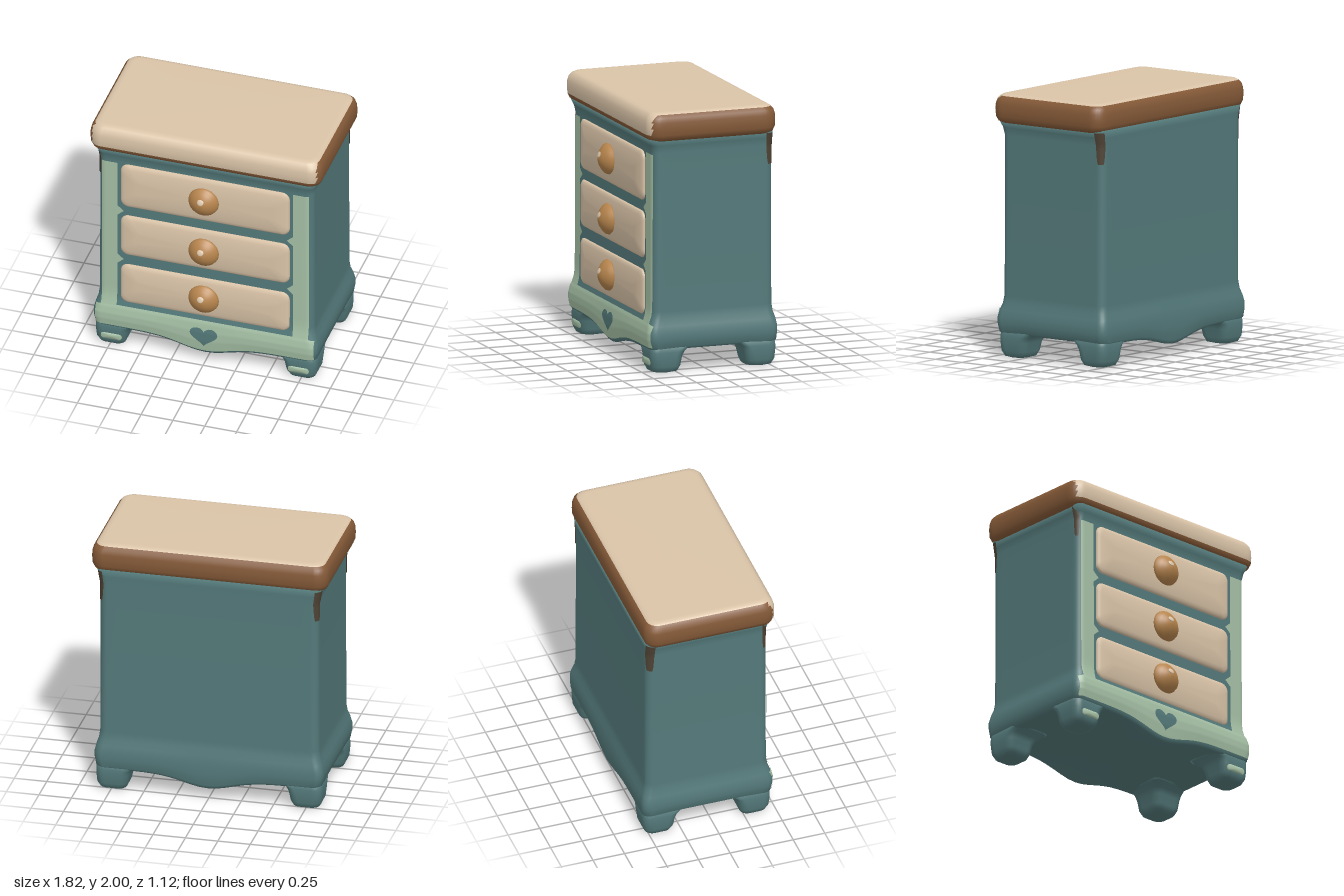
import * as THREE from 'three';

const mat = (name, color, side = THREE.FrontSide) => {
  const m = new THREE.MeshStandardMaterial({ color, side });
  m.name = name;
  return m;
};

// Rounded rectangle in the xz plane, always the same number of points
function ringPoints([y, x0, x1, z0, z1, r]) {
  const C = 7, E = 22, pts = [];
  const corners = [[x1 - r, z1 - r], [x0 + r, z1 - r], [x0 + r, z0 + r], [x1 - r, z0 + r]];
  const at = (k, a) => [corners[k % 4][0] + r * Math.cos(a), corners[k % 4][1] + r * Math.sin(a)];
  for (let k = 0; k < 4; k++) {
    for (let i = 0; i <= C; i++) pts.push(at(k, (k + i / C) * Math.PI / 2));
    const a = pts[pts.length - 1], b = at(k + 1, (k + 1) * Math.PI / 2);
    for (let i = 1; i < E; i++) pts.push([a[0] + (b[0] - a[0]) * i / E, a[1] + (b[1] - a[1]) * i / E]);
  }
  return pts.map(([x, z]) => new THREE.Vector3(x, y, z));
}

// Skins rings from bottom to top and caps both ends; classify picks a material per triangle
function loft(rings, warp = p => p, classify = null) {
  const loops = rings.map(ringPoints);
  const middle = loop => loop.reduce((s, p) => s.add(p), new THREE.Vector3()).divideScalar(loop.length);
  const n = loops[0].length, last = (loops.length - 1) * n;
  const verts = [...loops.flat(), middle(loops[0]), middle(loops[loops.length - 1])].map(warp);
  const bottom = loops.length * n, tris = [];
  for (let j = 0; j < n; j++) {
    const k = (j + 1) % n;
    for (let o = 0; o < last; o += n) {
      tris.push([o + j, o + n + j, o + k], [o + k, o + n + j, o + n + k]);
    }
    tris.push([bottom, j, k], [last + j, bottom + 1, last + k]);
  }
  const geo = new THREE.BufferGeometry().setFromPoints(verts);
  if (classify) {
    const sets = [[], []];
    for (const t of tris) {
      const c = new THREE.Vector3();
      t.forEach(i => c.addScaledVector(verts[i], 1 / 3));
      sets[classify(c)].push(...t);
    }
    geo.setIndex(sets.flat());
    geo.addGroup(0, sets[0].length, 0);
    geo.addGroup(sets[0].length, sets[1].length, 1);
  } else geo.setIndex(tris.flat());
  geo.computeVertexNormals();
  return geo;
}

// Open surface from a function of u and v
function grid(nu, nv, fn) {
  const pts = [], idx = [];
  for (let j = 0; j <= nv; j++) for (let i = 0; i <= nu; i++) pts.push(fn(i / nu, j / nv));
  for (let j = 0; j < nv; j++) for (let i = 0; i < nu; i++) {
    const a = j * (nu + 1) + i, b = a + nu + 1;
    idx.push(a, a + 1, b, a + 1, b + 1, b);
  }
  const geo = new THREE.BufferGeometry().setFromPoints(pts);
  geo.setIndex(idx);
  geo.computeVertexNormals();
  return geo;
}

// Cabinet profile: height, half width, back z, front z
const PROFILE = [
  [0.2, 0.70, -0.40, 0.34], [0.185, 0.80, -0.49, 0.42], [0.18, 0.845, -0.53, 0.45],
  [0.2, 0.87, -0.55, 0.468], [0.26, 0.88, -0.555, 0.478], [0.31, 0.88, -0.555, 0.478],
  [0.36, 0.868, -0.545, 0.468], [0.41, 0.852, -0.53, 0.45], [0.47, 0.845, -0.522, 0.44],
  [1.2, 0.842, -0.52, 0.437], [1.68, 0.842, -0.52, 0.437], [1.74, 0.85, -0.522, 0.45],
  [1.8, 0.87, -0.525, 0.475]];
const R = 0.06;

// Lower edge of the skirt, dipping at the middle
const skirtY = x => 0.172 - 0.082 * Math.exp(-((x / 0.26) ** 2));
function skirtWarp(p) {
  if (p.y >= 0.36) return p;
  const w = THREE.MathUtils.clamp((Math.abs(p.z + 0.04) - 0.28) / 0.14, 0, 1);
  const f = THREE.MathUtils.lerp(0.18, skirtY(p.x), w);
  return new THREE.Vector3(p.x, 0.36 - (0.36 - p.y) * (0.36 - f) / 0.18, p.z);
}

// Point on the cabinet front, raised by off
function frontPoint(x, y, off) {
  const t = y < 0.36 ? 0.36 - (0.36 - y) * 0.18 / (0.36 - skirtY(x)) : y;
  let i = 2;
  while (i < PROFILE.length - 2 && PROFILE[i + 1][0] < t) i++;
  const a = PROFILE[i], b = PROFILE[i + 1], k = (t - a[0]) / (b[0] - a[0]);
  const hx = a[1] + (b[1] - a[1]) * k, zf = a[3] + (b[3] - a[3]) * k;
  const d = Math.min(R, Math.max(0, Math.abs(x) - hx + R));
  return new THREE.Vector3(x, y, zf - R + Math.sqrt(R * R - d * d) + off);
}
const frontPatch = (x0, x1, low, high, nu, nv) => grid(nu, nv, (u, v) => {
  const x = x0 + (x1 - x0) * u;
  return frontPoint(x, low(x) + (high(x) - low(x)) * v, 0.006);
});

export function createModel() {
  const model = new THREE.Group();
  const teal = mat('teal paint', 0x54797a);
  const green = mat('sage green paint', 0xa5c0a5);
  const cream = mat('cream paint', 0xdac4a8);
  const brown = mat('brown wood', 0x855a38);
  const amber = mat('amber wood', 0xb7854d);
  const stain = mat('dark stain', 0x4e4234, THREE.DoubleSide);
  const add = (name, geo, material) => {
    const m = new THREE.Mesh(geo, material);
    m.name = name;
    model.add(m);
    return m;
  };

  // Cabinet with flared base and scalloped skirt
  add('cabinet', loft(PROFILE.map(([y, hx, zb, zf]) => [y, -hx, hx, zb, zf, R]), skirtWarp), teal);

  // Table top: cream top and front, brown edges
  const slab = [[1.772, 0.07], [1.78, 0.045], [1.795, 0.018], [1.83, 0.003], [1.88, 0], [1.925, 0.002],
    [1.96, 0.012], [1.984, 0.032], [1.995, 0.05], [2, 0.08]];
  add('tableTop', loft(slab.map(([y, i]) => [y, -0.912 + i, 0.912 - i, -0.54 + i, 0.495 - i, 0.1 - i * 0.5]),
    undefined, c => (c.y > 1.984 || (c.z > 0.43 && c.y > 1.83 && Math.abs(c.x) < 0.88) ? 1 : 0)), [brown, cream]);

  // Feet: height, outer inset, inner reach
  const foot = [[0, 0.06, 0.2], [0.01, 0.032, 0.235], [0.05, 0.014, 0.252], [0.12, 0.008, 0.265],
    [0.16, 0.008, 0.285], [0.19, 0.012, 0.325], [0.23, 0.03, 0.38]];
  for (const sx of [-1, 1]) for (const sz of [-1, 1]) {
    const oz = sz > 0 ? 0.468 : 0.552;
    const span = (s, o, a, b) => (s > 0 ? [o - b, o - a] : [a - o, b - o]);
    add('foot', loft(foot.map(([y, a, b]) => [y, ...span(sx, 0.878, a, b), ...span(sz, oz, a, b), R])), teal);
  }

  // Painted patches on the front feet
  for (const s of [-1, 1]) {
    const geo = loft([[0.445, -0.085, 0.085, -0.028, 0.028, 0.025], [0.462, -0.08, 0.08, -0.025, 0.025, 0.022]]);
    geo.rotateX(Math.PI / 2).translate(s * 0.735, 0.085, 0);
    add('footPatch', geo, green);
  }

  // Painted skirt, side stripes and the small points between drawers
  add('skirtPaint', frontPatch(-0.857, 0.857, x => skirtY(x) + 0.028,
    x => 0.385 - 0.02 * Math.max(0, (Math.abs(x) - 0.8) / 0.057), 80, 24), green);
  for (const s of [-1, 1]) {
    const a = s > 0 ? 0.69 : -0.812, b = s > 0 ? 0.812 : -0.69;
    add('sideStripe', frontPatch(a, b, () => 0.38, () => 1.67, 10, 24), green);
    for (const y of [0.8, 1.24]) {
      const h = x => Math.max(0, 0.045 * (Math.abs(x) - 0.64) / 0.052);
      add('stripePoint', frontPatch(s > 0 ? 0.64 : -0.692, s > 0 ? 0.692 : -0.64, x => y - h(x), x => y + h(x), 4, 2), green);
    }
  }

  // Heart on the skirt
  add('heart', grid(8, 48, (u, v) => {
    const t = -v * Math.PI * 2;
    const hx = 16 * Math.sin(t) ** 3;
    const hy = 13 * Math.cos(t) - 5 * Math.cos(2 * t) - 2 * Math.cos(3 * t) - Math.cos(4 * t);
    return frontPoint(u * hx * 0.0068, 0.258 + u * hy * 0.0056, 0.0105);
  }), teal);

  // Pillowed drawers with knobs: bottom, top, knob height
  const pillow = [[0.42, 0], [0.446, 0], [0.456, 0.012], [0.463, 0.035], [0.47, 0.08], [0.475, 0.13]];
  const knob = [[0.08, 0.45], [0.108, 0.468], [0.119, 0.483], [0.113, 0.502], [0.09, 0.525],
    [0.06, 0.545], [0.03, 0.557], [0, 0.561]].map(p => new THREE.Vector2(...p));
  for (const [y0, y1, ky] of [[1.29, 1.67, 1.488], [0.85, 1.205, 1.028], [0.415, 0.76, 0.598]]) {
    const h = (y1 - y0) / 2;
    const geo = loft(pillow.map(([z, i]) => [z, -0.662 + i, 0.662 - i, i - h, h - i, 0.06 - i * 0.3]));
    add('drawer', geo.rotateX(Math.PI / 2).translate(0, (y0 + y1) / 2, 0), cream);
    add('knob', new THREE.LatheGeometry(knob, 32).rotateX(Math.PI / 2).translate(0, ky, 0), amber);
    const dot = add('knobDot', new THREE.SphereGeometry(0.026, 16, 10), cream);
    dot.scale.z = 0.3;
    dot.rotation.x = -0.45;
    dot.position.set(-0.005, ky + 0.035, 0.552);
  }

  // Dark stain drips below the top at the corners
  for (const [sx, sz, w] of [[1, -1, 1], [-1, -1, 1], [-1, 1, 0.6]]) {
    add('stainDrip', grid(8, 12, (u, v) => {
      const a = (u - 0.5) * w * (0.5 + 0.5 * Math.sqrt(v)) * 1.3 + 0.6;
      const y = 1.54 + 0.24 * v, r = R + 0.006;
      const flare = Math.max(0, y - 1.68) * 0.18;
      const cz = sz > 0 ? 0.437 - R : -0.52 + R;
      return new THREE.Vector3(sx * (0.842 - R + flare + r * Math.cos(a)), y, cz + sz * r * Math.sin(a));
    }), stain);
  }
  return model;
}
